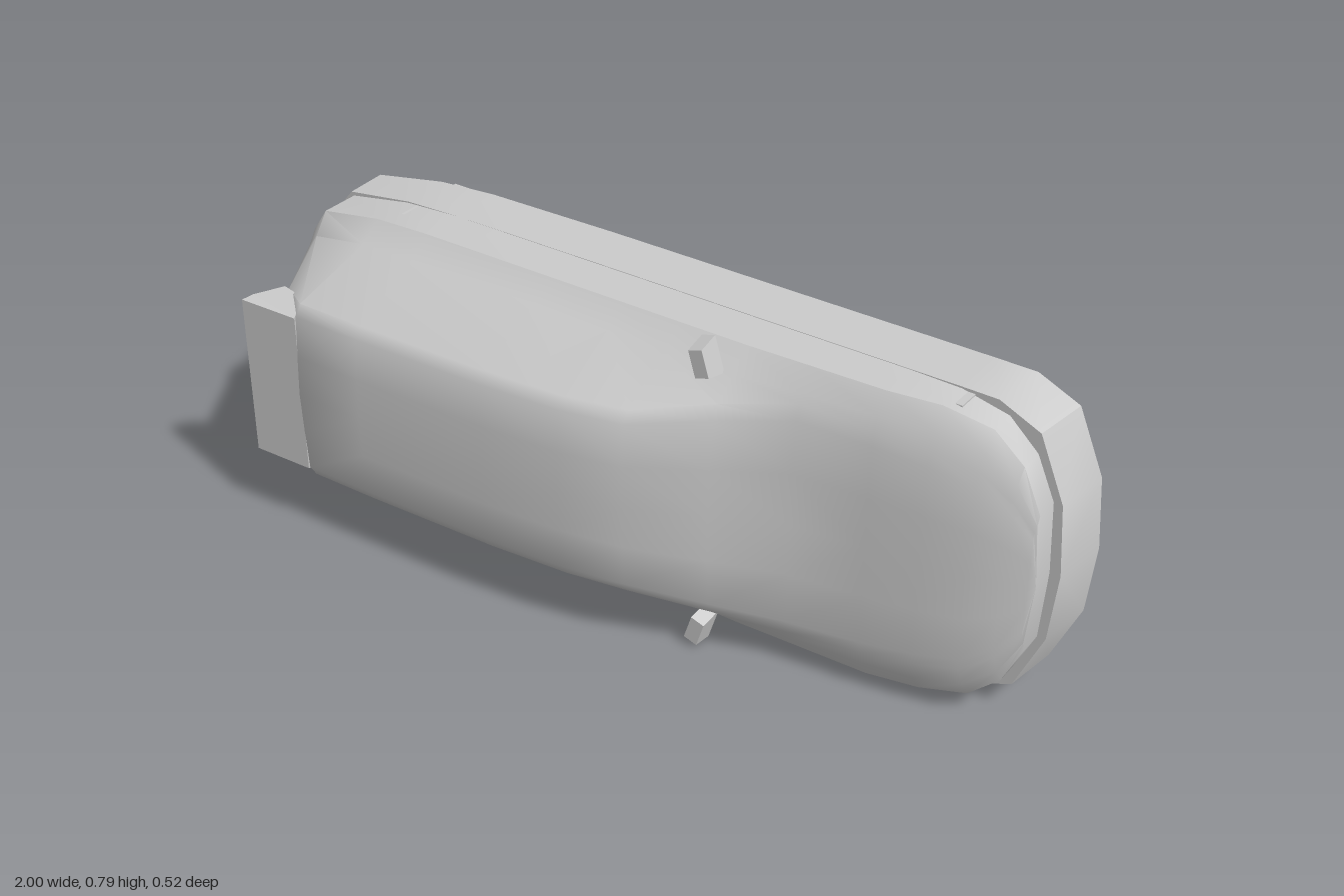
import * as THREE from 'three';
import { toCreasedNormals } from 'three/addons/utils/BufferGeometryUtils.js';

const grey = (side = THREE.FrontSide) => new THREE.MeshStandardMaterial({ color: 0xcccccc, side });

// The car lies on its side: nose to +x, roof to +z, width along y.
// Underside height, rising gently towards the tail
const underside = x => -0.26 + (x < -0.45 ? 0.04 * ((-0.45 - x) / 0.55) ** 1.6 : 0);

// Stations, nose to tail: bumper x, bumper half width, body x, shoulder half width,
// shoulder z, x of the top, z of the top, half width of the bonnet or roof edge
const stations = [
  [1, 0, 0.955, 0, -0.06, 0.955, -0.058, 0],
  [0.985, 0.17, 0.945, 0.17, -0.06, 0.94, -0.05, 0.13],
  [0.92, 0.32, 0.9, 0.27, -0.06, 0.89, -0.028, 0.2],
  [0.82, 0.365, 0.83, 0.335, -0.055, 0.82, -0.005, 0.25],
  [0.72, 0.366, 0.72, 0.36, -0.04, 0.72, 0.012, 0.27],
  [0.6, 0.366, 0.6, 0.363, -0.02, 0.6, 0.027, 0.285],
  [0.43, 0.366, 0.43, 0.363, -0.015, 0.43, 0.047, 0.295],
  [0.27, 0.366, 0.27, 0.363, -0.01, 0.27, 0.122, 0.27],
  [0.1, 0.366, 0.1, 0.363, -0.01, 0.1, 0.203, 0.235],
  [-0.05, 0.366, -0.05, 0.363, -0.01, -0.05, 0.232, 0.232],
  [-0.25, 0.366, -0.25, 0.363, -0.01, -0.25, 0.247, 0.232],
  [-0.6, 0.365, -0.6, 0.363, -0.01, -0.6, 0.257, 0.232],
  [-0.75, 0.36, -0.75, 0.355, -0.015, -0.78, 0.258, 0.232],
  [-0.93, 0.335, -0.92, 0.325, -0.02, -0.86, 0.21, 0.225],
  [-0.985, 0.27, -0.97, 0.26, -0.03, -0.965, 0.01, 0.19],
  [-1, 0, -0.985, 0, -0.03, -0.98, 0.01, 0],
];

// Half section from the sill up to the roof centre
function halfSection([bx, bw, x, hs, zs, xt, zc, wEdge]) {
  const rise = zc - zs, wTop = wEdge * 0.88;
  return [
    [bx, bw, underside(bx)],
    [bx * (bx > 0.8 ? 0.98 : 0.997), bw * 0.995, -0.12],
    [x, hs, -0.12],
    [x, hs, zs],
    [x + (xt - x) * 0.2, hs * 0.87, zs + Math.min(0.05, 0.6 * rise)],
    [xt, wEdge, zc - Math.min(0.027, 0.25 * rise)],
    [xt, wTop, zc - Math.min(0.01, 0.08 * rise)],
    [xt, wTop * 0.5, zc - Math.min(0.003, 0.02 * rise)],
    [xt, 0, zc],
  ];
}

function bodyGeometry() {
  const rows = stations.map(s => {
    const half = halfSection(s);
    const mirrored = half.slice(0, -1).reverse().map(([x, w, z]) => [x, -w, z]);
    return [...half, ...mirrored];
  });
  const n = rows[0].length, index = [];
  for (let i = 0; i < rows.length - 1; i++) {
    for (let j = 0; j < n - 1; j++) {
      const a = i * n + j, c = a + n;
      // Mirror the diagonals so both sides match
      if (j < n / 2 - 1) index.push(a, c, a + 1, a + 1, c, c + 1);
      else index.push(a, c, c + 1, a, c + 1, a + 1);
    }
  }
  const geo = new THREE.BufferGeometry();
  geo.setAttribute('position', new THREE.Float32BufferAttribute(rows.flat(2), 3));
  geo.setIndex(index);
  return toCreasedNormals(geo, 0.72);
}

const wells = [[0.37, 0.75], [-0.72, -0.345]];
const wellHalf = 0.357, wellDepth = 0.195;

// Floor pan cut open over the wheel wells
function floorGeometry() {
  const left = stations.map(s => new THREE.Vector2(s[0], s[1]));
  const right = stations.slice(1, -1).reverse().map(s => new THREE.Vector2(s[0], -s[1]));
  const shape = new THREE.Shape([...left, ...right]);
  for (const [x0, x1] of wells) {
    shape.holes.push(new THREE.Path(
      [[x0, -wellHalf], [x1, -wellHalf], [x1, wellHalf], [x0, wellHalf]].map(p => new THREE.Vector2(...p))));
  }
  const geo = new THREE.ShapeGeometry(shape);
  const p = geo.attributes.position;
  for (let i = 0; i < p.count; i++) p.setZ(i, underside(p.getX(i)));
  geo.computeVertexNormals();
  return geo;
}

// Box without its lower face
function wellGeometry(length) {
  const geo = new THREE.BoxGeometry(length, wellHalf * 2, wellDepth);
  geo.setIndex([...geo.index.array].slice(0, 30));
  return geo;
}

export function createModel() {
  const car = new THREE.Group();
  car.name = 'car';
  const add = (name, geo, material = grey()) => {
    const mesh = new THREE.Mesh(geo, material);
    mesh.name = name;
    car.add(mesh);
    return mesh;
  };

  add('bodyShell', bodyGeometry(), grey(THREE.DoubleSide));
  add('floorPan', floorGeometry(), grey(THREE.DoubleSide));

  // Wheel wells, each with two thin triangular dividers
  wells.forEach(([x0, x1], i) => {
    const end = i ? 'rear' : 'front', mid = (x0 + x1) / 2;
    add(end + 'WheelWell', wellGeometry(x1 - x0), grey(THREE.DoubleSide))
      .position.set(mid, 0, -0.26 + wellDepth / 2);
    const triangle = new THREE.Shape([
      new THREE.Vector2(x0, 0), new THREE.Vector2(x1, 0), new THREE.Vector2(mid, wellDepth)]);
    for (const s of [-1, 1]) {
      const divider = add(end + 'WellDivider', new THREE.ShapeGeometry(triangle), grey(THREE.DoubleSide));
      divider.rotation.x = Math.PI / 2;
      divider.position.set(0, s * 0.19, -0.26);
    }
  });

  // Roof spoiler overhanging the rear window
  const profile = [[-0.78, 0.254], [-0.94, 0.258], [-0.925, 0.235], [-0.865, 0.19], [-0.8, 0.2]];
  const spoiler = new THREE.ExtrudeGeometry(
    new THREE.Shape(profile.map(p => new THREE.Vector2(...p))), { depth: 0.42, bevelEnabled: false });
  spoiler.rotateX(Math.PI / 2);
  // Widen its lower edge to follow the cabin sides
  const p = spoiler.attributes.position;
  for (let i = 0; i < p.count; i++) {
    const side = p.getY(i) < -0.21 ? -1 : 1;
    p.setY(i, side * (0.204 + Math.max(0, 0.254 - p.getZ(i)) * 0.45));
  }
  spoiler.computeVertexNormals();
  add('rearSpoiler', spoiler, grey(THREE.DoubleSide));

  // Door mirrors, leaning back with slanted ends
  for (const s of [-1, 1]) {
    const geo = new THREE.BoxGeometry(0.035, 0.075, 0.055);
    const v = geo.attributes.position;
    for (let i = 0; i < v.count; i++) v.setY(i, v.getY(i) - s * v.getZ(i) * 0.2 * Math.sign(v.getY(i) * s));
    geo.computeVertexNormals();
    const mirror = add('doorMirror', geo);
    mirror.position.set(0.22, s * 0.347, 0.065);
    mirror.rotation.z = s * 0.3;
  }

  car.position.y = 0.395;
  const model = new THREE.Group();
  model.add(car);
  return model;
}
